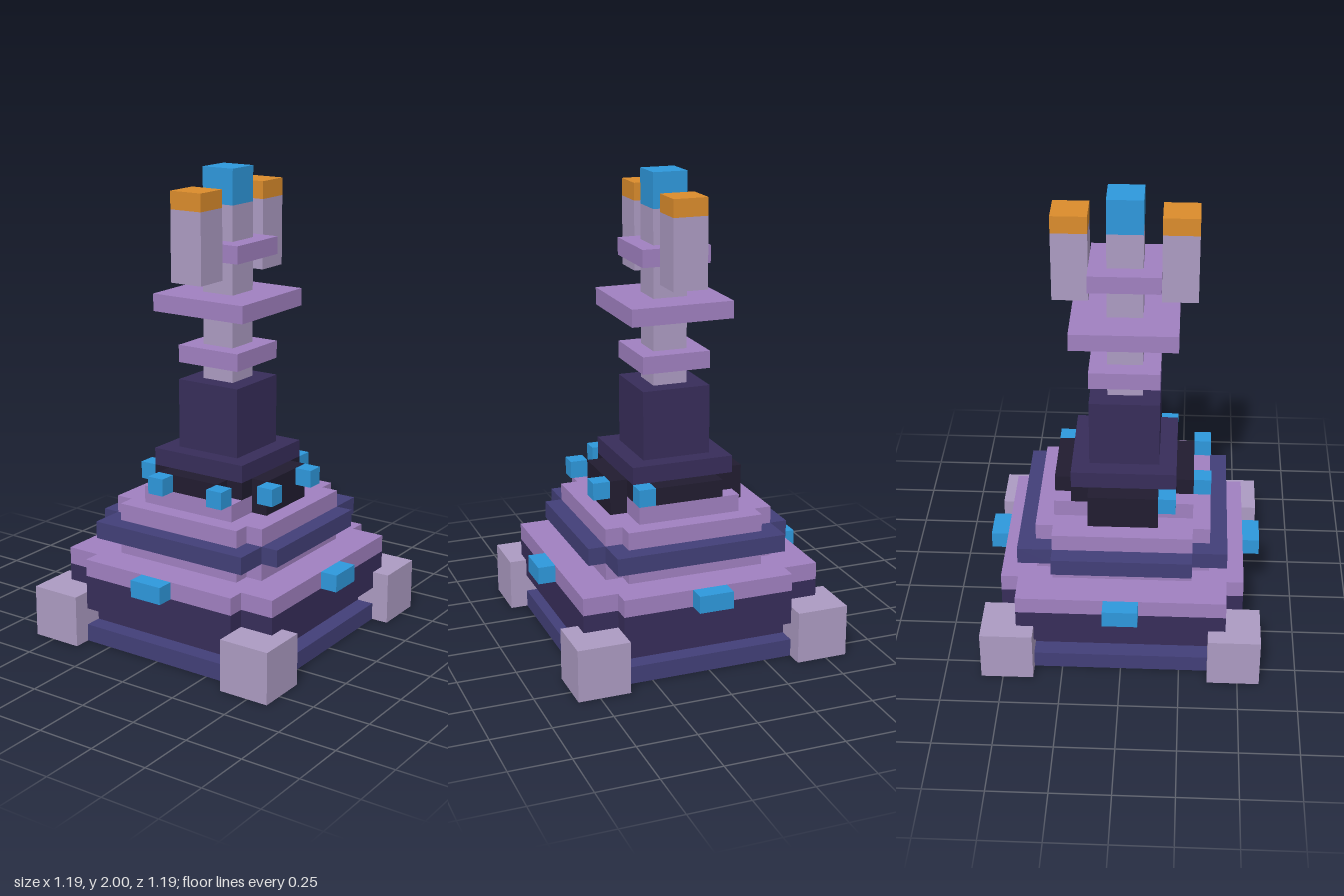
import * as THREE from 'three';

const U = 2 / 27; // one grid cell

const material = (color) => new THREE.MeshStandardMaterial({ color, flatShading: true });
const MAT = {
  stone: material(0xac9bc2),
  purple: material(0xa080c0),
  dark: material(0x372d5a),
  navy: material(0x423f78),
  black: material(0x211c30),
  blue: material(0x2e98dc),
  orange: material(0xdb8c2c),
};

export function createModel() {
  const model = new THREE.Group();
  model.name = 'steppedTower';

  const add = (name, geometry, mat, x, y, z) => {
    const mesh = new THREE.Mesh(geometry, mat);
    mesh.name = name;
    mesh.position.set(x * U, y * U, z * U);
    model.add(mesh);
  };

  // Box between two grid corners
  const box = (name, mat, [x0, x1], [y0, y1], [z0, z1]) =>
    add(name, new THREE.BoxGeometry((x1 - x0) * U, (y1 - y0) * U, (z1 - z0) * U), mat,
      (x0 + x1) / 2, (y0 + y1) / 2, (z0 + z1) / 2);

  // Centred slab given by its half width and half depth
  const slab = (name, mat, hx, y, hz = hx) => box(name, mat, [-hx, hx], y, [-hz, hz]);

  // Square terrace with notched corners: wide by inner depth, plus inner width by deep
  const terrace = (name, mat, [y0, y1], wide, innerDepth, innerWidth, deep) => {
    const quarter = [[wide, innerDepth], [innerWidth, innerDepth], [innerWidth, deep]];
    const points = [];
    for (const [sx, sz] of [[1, 1], [-1, 1], [-1, -1], [1, -1]]) {
      const corner = sx * sz > 0 ? quarter : [...quarter].reverse();
      for (const [x, z] of corner) points.push(new THREE.Vector2(x * sx * U, z * sz * U));
    }
    const geometry = new THREE.ExtrudeGeometry(new THREE.Shape(points),
      { depth: (y1 - y0) * U, bevelEnabled: false });
    geometry.rotateX(-Math.PI / 2);
    add(name, geometry, mat, 0, y0, 0);
  };

  // Base and lower terraces
  terrace('basePlate', MAT.navy, [0, 1], 7, 5, 5, 7);
  slab('baseRecess', MAT.dark, 6, [1, 2]);
  terrace('lowerWall', MAT.dark, [2, 4], 7, 6, 5, 7);
  terrace('lowerTerrace', MAT.purple, [4, 5], 7, 6, 5, 7);
  terrace('middleTerrace', MAT.purple, [5, 6], 5, 4, 4, 5);
  terrace('navyRim', MAT.navy, [6, 7], 6, 4, 5, 6);
  terrace('upperTerrace', MAT.purple, [7, 8], 5, 4, 4, 5);

  // Corner feet
  for (const sx of [-1, 1]) for (const sz of [-1, 1]) {
    add('cornerFoot', new THREE.BoxGeometry(3 * U, 3 * U, 3 * U), MAT.stone, sx * 6.5, 1.5, sz * 6.5);
  }

  // Side lamps, black doorways and the two posts with caps
  for (const s of [-1, 1]) {
    add('sideLamp', new THREE.BoxGeometry(U, U, 2 * U), MAT.blue, s * 7.5, 4.5, 0);
    add('endLamp', new THREE.BoxGeometry(2 * U, U, U), MAT.blue, 0, 4.5, s * 7.5);
    add('sideDoorway', new THREE.BoxGeometry(U, 2 * U, 4 * U), MAT.black, s * 3.5, 9, 0);
    add('endDoorway', new THREE.BoxGeometry(4 * U, U, U), MAT.black, 0, 9.5, s * 3.5);
    add('post', new THREE.BoxGeometry(2 * U, 4 * U, 2 * U), MAT.stone, 0, 23, s * 3);
    add('postCap', new THREE.BoxGeometry(2 * U, U, 2 * U), MAT.orange, 0, 25.5, s * 3);
  }

  // Upper block
  slab('plinth', MAT.purple, 3, [8, 9], 4);
  slab('blackBand', MAT.black, 3, [9, 10]);
  slab('towerFoot', MAT.dark, 3, [10, 11]);
  slab('tower', MAT.dark, 2, [11, 15]);

  // Floating cubes around the block
  for (const [x, z] of [[2, -4], [4, -2], [4, 2], [2, 4], [-2, 4], [-4, 2]]) {
    box('floatingCube', MAT.blue, [x, x + 1], [9, 10], [z, z + 1]);
  }

  // Spire with its collars and tip
  slab('spire', MAT.stone, 1, [15, 25]);
  slab('lowerCollar', MAT.purple, 2, [16, 17]);
  slab('wideCollar', MAT.purple, 3, [19, 20]);
  slab('upperCollar', MAT.purple, 2, [22, 23]);
  slab('spireTip', MAT.blue, 1, [25, 27]);

  return model;
}
